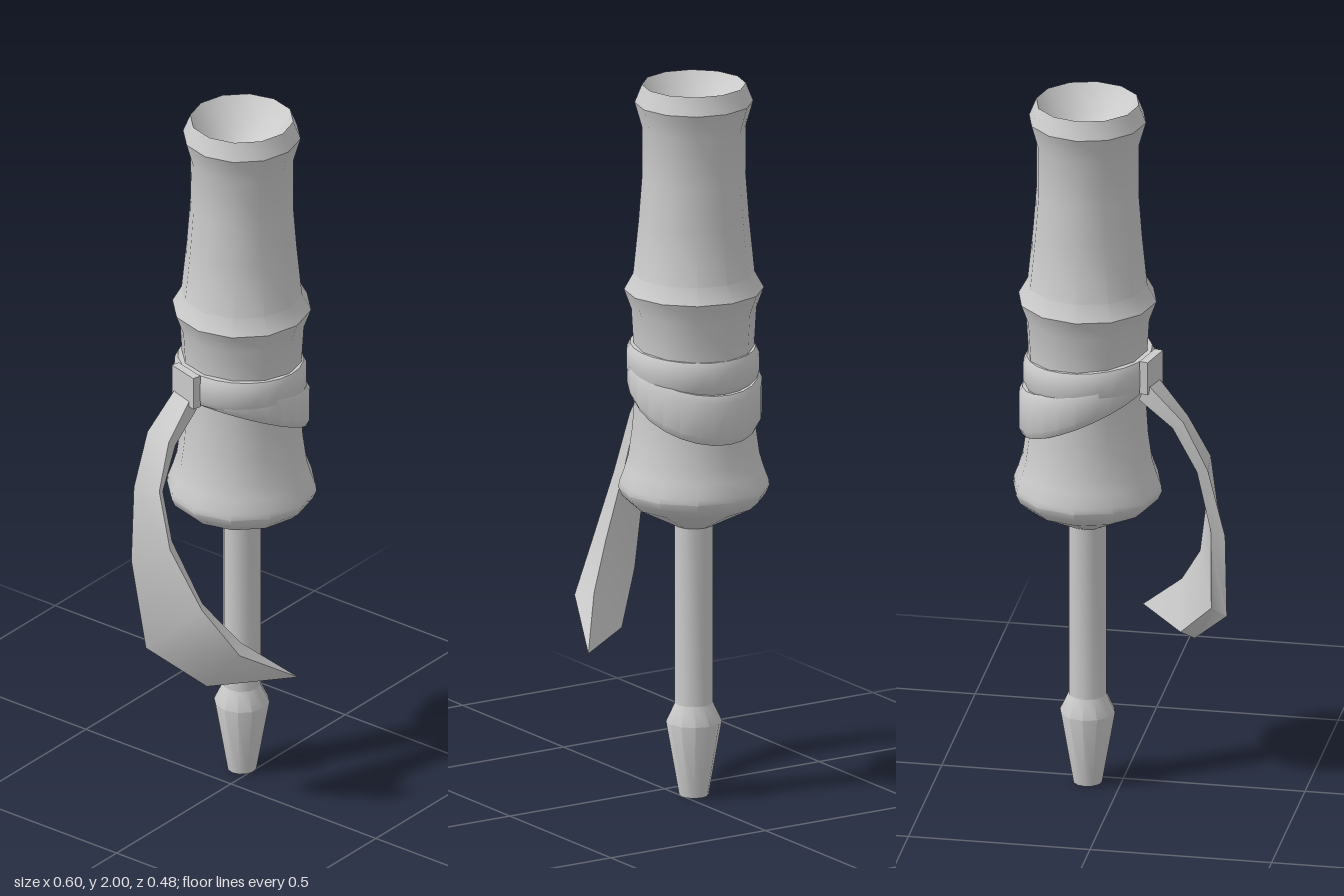
import * as THREE from 'three';
import { toCreasedNormals } from 'three/addons/utils/BufferGeometryUtils.js';

const AXIS_X = 0.092, AXIS_Z = -0.035, SIDES = 12;
const material = new THREE.MeshStandardMaterial({ color: 0xcccccc });

function addMesh(group, name, geometry) {
  const mesh = new THREE.Mesh(toCreasedNormals(geometry, 0.6), material);
  mesh.name = name;
  group.add(mesh);
  return mesh;
}

// Turned part around the main axis; profile is [radius, height] from bottom to top
function turned(group, name, profile) {
  const points = profile.map(([r, y]) => new THREE.Vector2(r, y));
  const mesh = addMesh(group, name, new THREE.LatheGeometry(points, SIDES));
  mesh.position.set(AXIS_X, 0, AXIS_Z);
}

// Skin over a row of equal-length cross-section loops
function loft(sections, closed) {
  const n = sections[0].length, index = [];
  const rows = closed ? sections.length : sections.length - 1;
  for (let i = 0; i < rows; i++) {
    const k = (i + 1) % sections.length;
    for (let j = 0; j < n; j++) {
      const a = i * n + j, b = i * n + (j + 1) % n;
      const c = k * n + (j + 1) % n, d = k * n + j;
      index.push(a, c, b, a, d, c);
    }
  }
  const geometry = new THREE.BufferGeometry();
  geometry.setAttribute('position', new THREE.Float32BufferAttribute(sections.flat(2), 3));
  geometry.setIndex(index);
  return geometry;
}

// Tilted cloth ring; each value is [at -x side, at +x side]
function wrapBand(group, name, bottom, top, radius) {
  const sections = [];
  const count = SIDES * 2;
  for (let i = 0; i < count; i++) {
    const angle = (i / count) * Math.PI * 2;
    const t = (1 + Math.cos(angle)) / 2;
    const mix = ([a, b]) => a + (b - a) * t;
    const lo = mix(bottom), hi = mix(top), r = mix(radius);
    const loop = [[0.145, lo], [r - 0.01, lo], [r, lo + 0.02], [r, hi - 0.02], [r - 0.01, hi], [0.145, hi]];
    sections.push(loop.map(([rad, y]) => [
      AXIS_X + rad * Math.cos(angle), y, AXIS_Z - rad * Math.sin(angle)]));
  }
  addMesh(group, name, loft(sections, true));
}

export function createModel() {
  const model = new THREE.Group();
  model.name = 'handledTool';

  // Handle with a dished top
  turned(model, 'handle', [
    [0.05, 0.76], [0.17, 0.822], [0.195, 0.845], [0.205, 0.868], [0.203, 0.885],
    [0.19, 0.92], [0.178, 0.96], [0.167, 1.04], [0.16, 1.15], [0.164, 1.27],
    [0.17, 1.37], [0.19, 1.425], [0.165, 1.47], [0.15, 1.62], [0.141, 1.74],
    [0.141, 1.88], [0.161, 1.95], [0.141, 2], [0.09, 1.93], [0.04, 1.9], [0, 1.89],
  ]);

  // Shaft and flared tip
  turned(model, 'shaft', [[0.052, 0.25], [0.052, 0.78]]);
  turned(model, 'tip', [[0, 0], [0.04, 0], [0.076, 0.208], [0.052, 0.26]]);

  // Two crossing wraps, meeting at the knot
  wrapBand(model, 'upperWrap', [1.19, 1.165], [1.28, 1.257], [0.186, 0.175]);
  wrapBand(model, 'lowerWrap', [1.185, 1.025], [1.27, 1.165], [0.18, 0.187]);

  // Knot
  const knot = addMesh(model, 'knot', new THREE.BoxGeometry(0.024, 0.095, 0.097));
  knot.position.set(-0.092, 1.238, -0.082);
  knot.rotation.y = -0.26;

  // Hanging strap: outer back, outer front, inner front, inner back corners
  const tip = [-0.01, 0.414, 0.24];
  addMesh(model, 'strap', loft([
    [[-0.085, 1.22, -0.12], [-0.1, 1.22, -0.055], [-0.08, 1.17, -0.055], [-0.065, 1.17, -0.12]],
    [[-0.19, 1.12, -0.138], [-0.19, 1.11, -0.065], [-0.16, 1.09, -0.065], [-0.16, 1.1, -0.135]],
    [[-0.257, 0.98, -0.132], [-0.25, 0.99, -0.05], [-0.228, 0.98, -0.055], [-0.225, 0.97, -0.122]],
    [[-0.3, 0.78, -0.107], [-0.26, 0.83, -0.005], [-0.232, 0.84, -0.02], [-0.26, 0.79, -0.105]],
    [[-0.296, 0.525, -0.06], [-0.231, 0.66, 0.083], [-0.2, 0.66, 0.06], [-0.255, 0.55, -0.07]],
    [[-0.185, 0.4, 0.063], [-0.181, 0.53, 0.173], [-0.135, 0.54, 0.14], [-0.15, 0.425, 0.04]],
    [tip, tip, tip, tip],
  ], false));

  return model;
}
